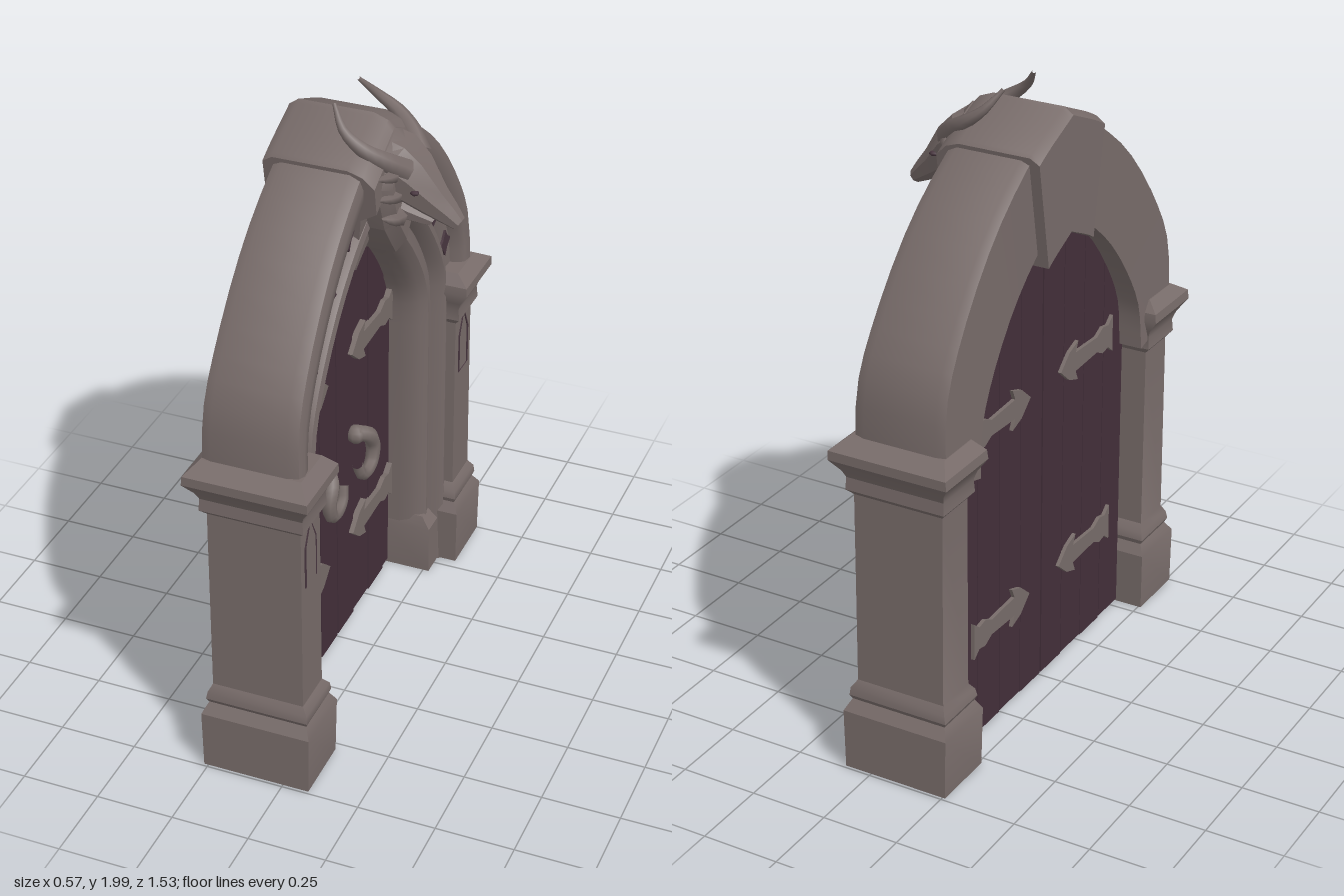
import * as THREE from 'three';
import { toCreasedNormals } from 'three/addons/utils/BufferGeometryUtils.js';

const mat = (name, color, extra = {}) => {
  const m = new THREE.MeshStandardMaterial({ color, ...extra });
  m.name = name;
  return m;
};
const V = (x, y, z) => new THREE.Vector3(x, y, z);

// Skin a list of equal-length rings, closing both ends
function loft(rings, crease = 0.7) {
  const n = rings[0].length, last = rings.length - 1, pos = [];
  const tri = (...p) => p.forEach(v => pos.push(v.x, v.y, v.z));
  for (let s = 0; s < last; s++) {
    for (let i = 0; i < n; i++) {
      const j = (i + 1) % n, a = rings[s], b = rings[s + 1];
      tri(a[i], b[i], b[j]);
      tri(a[i], b[j], a[j]);
    }
  }
  for (let i = 1; i < n - 1; i++) {
    tri(rings[0][0], rings[0][i], rings[0][i + 1]);
    tri(rings[last][0], rings[last][i + 1], rings[last][i]);
  }
  const g = new THREE.BufferGeometry();
  g.setAttribute('position', new THREE.Float32BufferAttribute(pos, 3));
  return toCreasedNormals(g, crease);
}

// Tube whose radius runs from r0 to r1
function taper(points, r0, r1, n = 10, sides = 7) {
  const curve = new THREE.CatmullRomCurve3(points.map(p => V(...p)));
  const g = new THREE.TubeGeometry(curve, n, 1, sides);
  const p = g.attributes.position, v = V(0, 0, 0);
  for (let i = 0; i < p.count; i++) {
    const k = Math.floor(i / (sides + 1)) / n, c = curve.getPointAt(k);
    v.fromBufferAttribute(p, i).sub(c).multiplyScalar(r0 + (r1 - r0) * k).add(c);
    p.setXYZ(i, v.x, v.y, v.z);
  }
  return g;
}

function plate(pts, z0, z1, hole) {
  const shape = new THREE.Shape(pts.map(p => new THREE.Vector2(...p)));
  if (hole) shape.holes.push(new THREE.Path(hole.map(p => new THREE.Vector2(...p))));
  return new THREE.ExtrudeGeometry(shape, { depth: z1 - z0, bevelEnabled: false }).translate(0, 0, z0);
}

// Pointed arch: opening edge and outer edge, from springing to apex
const spline = pts => new THREE.CatmullRomCurve3(pts.map(p => V(p[0], p[1], 0)));
const innerCurve = spline([[.45, .95], [.435, 1.07], [.375, 1.19], [.26, 1.335], [.13, 1.44], [0, 1.505]]);
const outerCurve = spline([[.71, 1.02], [.693, 1.28], [.597, 1.46], [.41, 1.68], [.2, 1.833], [0, 1.925]]);
const at = (u, t) => innerCurve.getPoint(u).lerp(outerCurve.getPoint(u), t);

// Sweep a (t, z) profile over the arch between u0 and its mirror, optionally down to the floor,
// thinning the depth by the squeeze share towards the apex
function archSweep(profile, u0, legs, squeeze = 0) {
  const N = 14, half = [];
  if (legs) half.push(profile.map(([t, z]) => V(.45 + .26 * t, 0, z)));
  for (let i = 0; i <= N; i++) {
    const u = u0 + (1 - u0) * i / N, k = 1 - squeeze * u;
    half.push(profile.map(([t, z]) => at(u, t).setZ((z + .095) * k - .095)));
  }
  const other = half.slice(0, -1).reverse().map(r => r.map(v => V(-v.x, v.y, v.z)));
  return loft([...half, ...other]);
}

// Height of the door top at x
function topY(x) {
  for (let i = 0; i < 40; i++) {
    const a = at(i / 40, .3), b = at((i + 1) / 40, .3);
    if (x <= a.x && x >= b.x) return b.y + (a.y - b.y) * (x - b.x) / (a.x - b.x || 1);
  }
  return 1.0;
}

export function createModel() {
  const stone = mat('stone', 0x776b69);
  const wood = mat('dark purple wood', 0x432f3a);
  const iron = mat('pale iron', 0x776c69);
  const inlay = mat('carved inlay', 0x48363f);
  const model = new THREE.Group();
  model.name = 'archedDoorway';
  const body = new THREE.Group();
  body.name = 'doorway';
  body.rotation.y = Math.PI / 2;
  model.add(body);
  const add = (name, geo, m, parent = body) => {
    const mesh = new THREE.Mesh(geo, m);
    mesh.name = name;
    parent.add(mesh);
  };

  // Arch, inner moulding and keystone
  add('arch', archSweep([[.22, -.25], [.97, -.25], [1, -.22], [1, .02], [.96, .055], [.88, .065], [.76, .06],
    [.71, .045], [.68, .015], [.42, .01], [.22, -.05]], 0, false, .15), stone);
  add('innerMoulding', archSweep([[0, -.15], [.44, -.15], [.44, .01], [.41, .03], [.34, .035], [.29, .02],
    [.25, -.01], [.21, -.01], [.13, -.005], [.06, -.025], [.015, -.055], [0, -.09]], 0, true, .1), stone);
  add('keystone', archSweep([[.12, -.265], [.98, -.265], [1.03, -.235], [1.03, .0], [.99, .045], [.9, .08],
    [.68, .08], [.62, .03], [.12, .0]], .8, false), stone);
  const shield = k => [[0, -.24], [.09, -.12], [.15, .04], [.11, .12], [0, .17], [-.11, .12], [-.15, .04], [-.09, -.12]]
    .map(([x, y]) => [x * k, 1.73 + y * k]);
  add('keystoneShield', loft([[1, -.2], [1, .07], [.78, .105]].map(([k, z]) =>
    shield(k).reverse().map(([x, y]) => V(x, y, z)))), stone);

  // Pillars: rows are y, inner x, outer x, back z, front z
  const rows = [[.004, .53, .745, -.262, .086], [.2, .525, .745, -.265, .09], [.235, .545, .72, -.248, .072],
    [.25, .54, .728, -.255, .078], [.275, .545, .725, -.25, .075], [.3, .565, .71, -.238, .058],
    [.925, .565, .705, -.238, .058], [.945, .55, .725, -.255, .075], [.985, .552, .722, -.252, .072],
    [1.01, .545, .735, -.26, .08], [1.05, .53, .765, -.288, .106], [1.08, .533, .765, -.285, .105],
    [1.115, .56, .71, -.25, .065]];
  for (const s of [1, -1]) {
    const pillar = new THREE.Group();
    pillar.name = s > 0 ? 'rightPillar' : 'leftPillar';
    body.add(pillar);
    add('pillarShaft', loft(rows.map(([y, a, b, z0, z1]) => {
      const [x0, x1] = s > 0 ? [a, b] : [-b, -a];
      return [V(x0, y, z0), V(x1, y, z0), V(x1, y, z1), V(x0, y, z1)];
    }), .5), stone, pillar);
    add('jambBase', loft([[0, .447, .02], [.17, .447, .02], [.21, .46, -.01]].map(([y, a, z]) => {
      const [x0, x1] = s > 0 ? [a, .54] : [-.54, -a];
      return [V(x0, y, -.15), V(x1, y, -.15), V(x1, y, z), V(x0, y, z)];
    }), .4), stone, pillar);
    add('plinthUnderside', new THREE.BoxGeometry(.14, .005, .24).translate(s * .64, .0025, -.09), inlay, pillar);
    const niche = k => [[.638 - k, .72], [.638 + k, .72], [.638 + k, .86], [.638, .9 + k], [.638 - k, .86]]
      .map(([x, y]) => [s * x, y]);
    add('nicheOutline', plate(niche(.042), .055, .061, niche(.034)), inlay, pillar);

    // Pierced tracery along the arch
    [.23, .42, .59, .75].forEach((u, k) => {
      const c = at(u, .56), pts = [];
      for (let i = 0; i < 8; i++) {
        const r = i % 2 ? .026 : .046, a = i * Math.PI / 4 + k;
        pts.push([s * (c.x + r * Math.cos(a)), c.y + r * Math.sin(a)]);
      }
      const z = .012 - .016 * u;
      add('tracery', plate(pts, z, z + .008), inlay);
    });

    // Door leaf: backing board and four planks
    const leaf = new THREE.Group();
    leaf.name = s > 0 ? 'rightLeaf' : 'leftLeaf';
    body.add(leaf);
    const board = (x0, x1, y0, z0, z1) => {
      const pts = [[s * x0, y0], [s * x1, y0]];
      for (let i = 0; i <= 5; i++) {
        const x = x1 + (x0 - x1) * i / 5;
        pts.push([s * x, topY(x)]);
      }
      return plate(pts, z0, z1);
    };
    add('backingBoard', board(0, .525, .015, -.167, -.133), wood, leaf);
    for (let i = 0; i < 4; i++) {
      const x0 = .004 + i * .131;
      add('plank', board(x0, x0 + .128, .01 + .004 * (i % 2), -.172, -.126 - .003 * (i % 2)), wood, leaf);
    }

    // Arrow hinges showing on both faces
    for (const y of [1.035, .355]) {
      const top = [[.435, .062], [.405, .038], [.37, .045], [.33, .026], [.19, .032], [.205, .066], [.15, .047]];
      const pts = [...top, [.095, 0], ...top.slice().reverse().map(([x, h]) => [x, -h])];
      add('hinge', plate(pts.map(([x, h]) => [s * x, y + h]), -.184, -.11), iron, leaf);
    }

    // Curled door pull
    const pull = [[.115, .735, -.11], [.15, .715, -.08], [.18, .66, -.075], [.165, .605, -.075],
      [.12, .59, -.075], [.08, .61, -.075], [.06, .655, -.08]];
    add('doorPull', taper(pull.map(([x, y, z]) => [s * x, y, z]), .028, .018, 20), iron, leaf);
    add('doorPullBoss', new THREE.SphereGeometry(.032, 8, 6).translate(s * .118, .728, -.108), iron, leaf);
  }

  // Horned beast head; rows are y, z, half width, half height
  const head = new THREE.Group();
  head.name = 'beastHead';
  body.add(head);
  const skull = list => loft(list.map(([y, z, w, h]) => Array.from({ length: 8 }, (_, i) => {
    const a = -(i + .5) * Math.PI / 4;
    return V(w * Math.cos(a), y + .8 * h * Math.sin(a), z + .6 * h * Math.sin(a));
  })), .5);
  add('skull', skull([[1.81, -.01, .11, .1], [1.795, .06, .12, .095], [1.755, .12, .1, .08],
    [1.69, .19, .06, .052], [1.655, .235, .042, .036], [1.628, .268, .028, .022]]), stone, head);
  add('jaw', skull([[1.69, .03, .08, .07], [1.65, .11, .052, .04], [1.625, .19, .03, .02]]), stone, head);
  add('crest', taper([[0, 1.78, .13], [0, 1.85, .09], [0, 1.9, .03]], .025, .004, 5, 5), stone, head);
  for (const s of [1, -1]) {
    add('horn', taper([[s * .055, 1.8, .12], [s * .105, 1.845, .075], [s * .135, 1.885, .02],
      [s * .13, 1.93, -.04], [s * .09, 1.99, -.085]], .038, .006, 12), stone, head);
    add('brow', taper([[s * .02, 1.735, .185], [s * .06, 1.785, .14], [s * .11, 1.83, .07]], .022, .008, 6), stone, head);
    [[.165, 1.81], [.155, 1.74], [.115, 1.66]].forEach(([x, y]) => add('cheekSpike',
      taper([[s * .06, y - .01, .1], [s * (x + .06) / 2, y - .01, .095], [s * x, y, .07]], .034, .003, 5, 5), stone, head));
    add('eye', new THREE.SphereGeometry(.014, 6, 5).scale(1, .6, 1).translate(s * .078, 1.745, .158), inlay, head);
  }
  return model;
}
